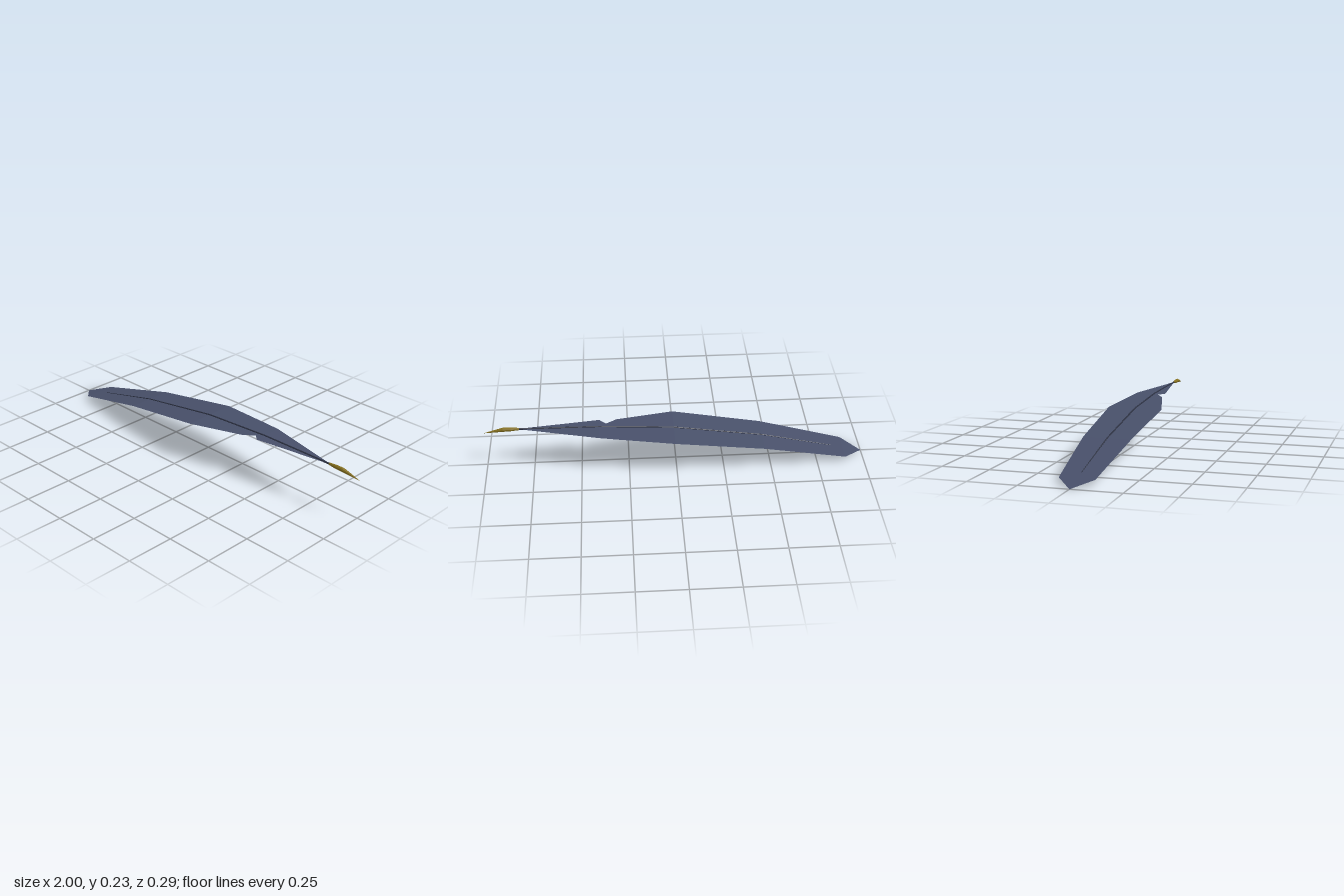
import * as THREE from 'three';

// Flat-shaded surface through rows of points, each row [x, y, z] triples
function loft(rows) {
  const pos = [];
  for (let i = 0; i < rows.length - 1; i++) {
    for (let j = 0; j < rows[i].length - 1; j++) {
      const a = rows[i][j], b = rows[i][j + 1], c = rows[i + 1][j + 1], d = rows[i + 1][j];
      pos.push(...a, ...b, ...c, ...a, ...c, ...d);
    }
  }
  const geo = new THREE.BufferGeometry();
  geo.setAttribute('position', new THREE.Float32BufferAttribute(pos, 3));
  geo.computeVertexNormals();
  return geo;
}

// Ring of n sides around the x axis, centred on (x, y)
function ring(x, y, r, n) {
  return Array.from({ length: n + 1 }, (_, k) => {
    const a = (k / n) * Math.PI * 2;
    return [x, y + r * Math.cos(a), r * Math.sin(a)];
  });
}

function part(name, geometry, material) {
  const mesh = new THREE.Mesh(geometry, material);
  mesh.name = name;
  return mesh;
}

export function createModel() {
  const featherBlue = new THREE.MeshStandardMaterial({ color: 0x48506a, side: THREE.DoubleSide });
  featherBlue.name = 'featherBlue';
  const shaftNavy = new THREE.MeshStandardMaterial({ color: 0x2a2f40 });
  shaftNavy.name = 'shaftNavy';
  const nibGold = new THREE.MeshStandardMaterial({ color: 0x85701f });
  nibGold.name = 'nibGold';

  const quill = new THREE.Group();
  quill.name = 'quill';

  // Vane: x, y, back edge, front edge, with a notch near the nib
  const stations = [
    [-1, 0.002, -0.0005, 0.0005],
    [-0.9, 0.028, -0.088, 0.088],
    [-0.46, 0.13, -0.125, 0.123],
    [0.01, 0.2, -0.146, 0.145],
    [0.31, 0.217, -0.112, 0.067],
    [0.365, 0.22, -0.105, 0.028],
    [0.4, 0.222, -0.101, 0.06],
    [0.82, 0.226, -0.002, 0.002],
  ];
  quill.add(part('vane', loft(stations.map(([x, y, b, f]) => [[x, y, b], [x, y, 0], [x, y, f]])), featherBlue));

  // Shaft: slim rod following the curve of the vane
  const shaft = [
    [-0.84, 0.042, 0.0003], [-0.83, 0.044, 0.002], [-0.46, 0.13, 0.004],
    [0.01, 0.2, 0.005], [0.4, 0.222, 0.005], [0.83, 0.226, 0.005],
  ];
  quill.add(part('shaft', loft(shaft.map(([x, y, r]) => ring(x, y, r, 6))), shaftNavy));

  // Nib: swollen collar drawn out to a drooping point
  const nib = [
    [0.815, 0.226, 0.0003], [0.816, 0.226, 0.006], [0.86, 0.2255, 0.01],
    [0.9, 0.225, 0.011], [0.94, 0.218, 0.007], [1, 0.207, 0.0004],
  ];
  quill.add(part('nib', loft(nib.map(([x, y, r]) => ring(x, y, r, 10))), nibGold));

  return quill;
}
